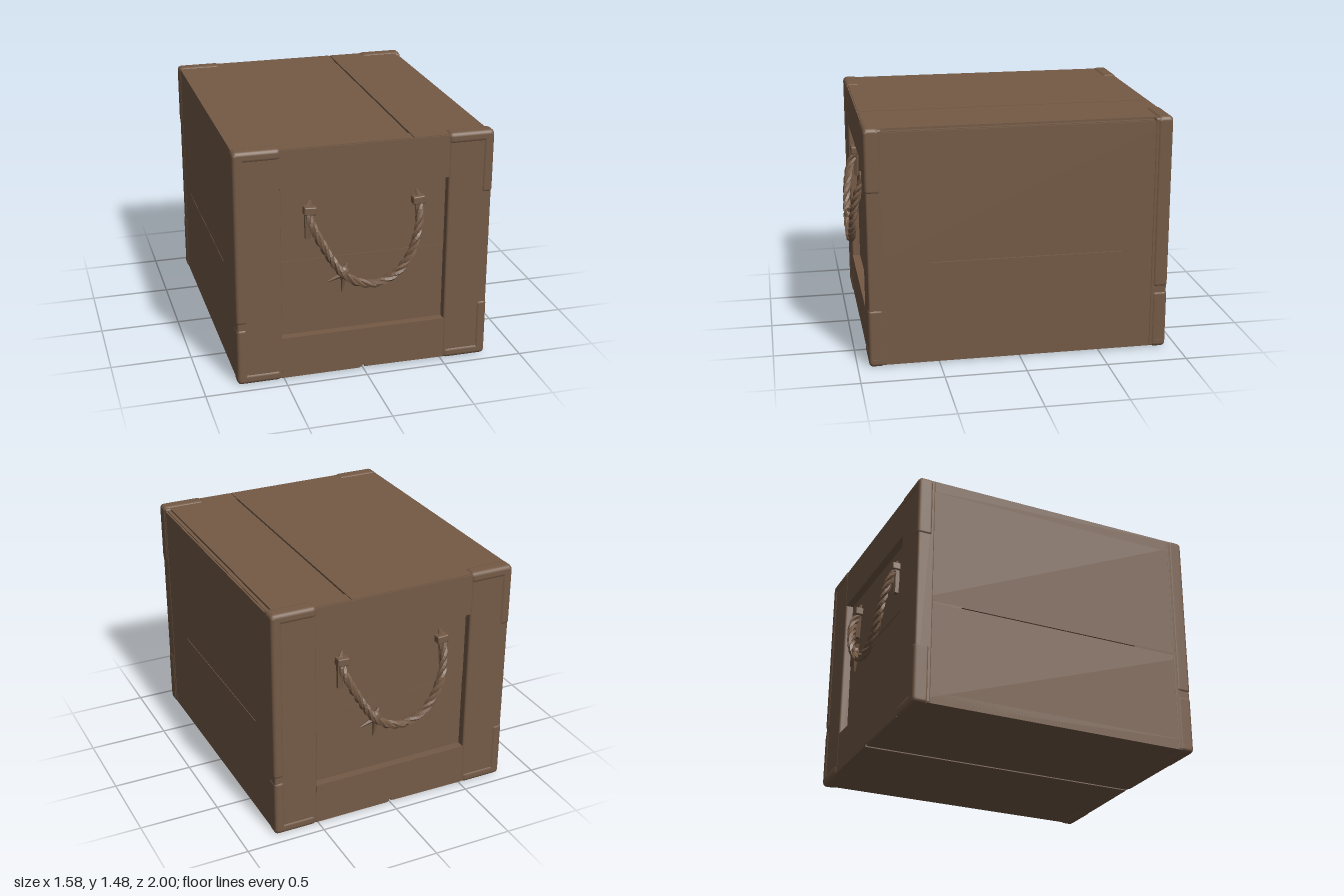
import * as THREE from 'three';
import { RoundedBoxGeometry } from 'three/addons/geometries/RoundedBoxGeometry.js';

const wood = new THREE.MeshStandardMaterial({ color: 0x745a46 });
wood.name = 'brown wood';

function add(parent, name, geometry) {
  const mesh = new THREE.Mesh(geometry, wood);
  mesh.name = name;
  parent.add(mesh);
  return mesh;
}

// Box given by its extents on each axis, with optional edge rounding
function block(parent, name, [x0, x1], [y0, y1], [z0, z1], radius = 0) {
  const size = [x1 - x0, y1 - y0, z1 - z0];
  const geometry = radius
    ? new RoundedBoxGeometry(...size, 2, radius)
    : new THREE.BoxGeometry(...size);
  const mesh = add(parent, name, geometry);
  mesh.position.set((x0 + x1) / 2, (y0 + y1) / 2, (z0 + z1) / 2);
  return mesh;
}

// Flat-faceted geometry: every triangle gets its own normal
function faceted(geometry) {
  const flat = geometry.index ? geometry.toNonIndexed() : geometry;
  flat.computeVertexNormals();
  return flat;
}

// Three strands wound around a path
function rope(parent, name, path, turns, spread, radius) {
  const steps = 72;
  const frames = path.computeFrenetFrames(steps, false);
  for (let s = 0; s < 3; s++) {
    const points = [];
    for (let i = 0; i <= steps; i++) {
      const a = (i / steps) * turns * Math.PI * 2 + (s * Math.PI * 2) / 3;
      points.push(path.getPointAt(i / steps)
        .addScaledVector(frames.normals[i], Math.cos(a) * spread)
        .addScaledVector(frames.binormals[i], Math.sin(a) * spread));
    }
    const curve = new THREE.CatmullRomCurve3(points);
    add(parent, name, faceted(new THREE.TubeGeometry(curve, steps, radius, 5)));
  }
}

// Small tapered tuft between two points
function tuft(parent, from, to, r0, r1) {
  const a = new THREE.Vector3(...from), b = new THREE.Vector3(...to);
  const dir = b.clone().sub(a);
  const mesh = add(parent, 'ropeEnd', faceted(new THREE.CylinderGeometry(r1, r0, dir.length(), 5)));
  mesh.position.copy(a).add(b).multiplyScalar(0.5);
  mesh.quaternion.setFromUnitVectors(new THREE.Vector3(0, 1, 0), dir.normalize());
}

function makeHandle() {
  const handle = new THREE.Group();
  handle.name = 'ropeHandle';
  const path = new THREE.CatmullRomCurve3([
    [-0.34, 1.07, 0.89], [-0.325, 0.99, 0.93], [-0.24, 0.82, 0.965], [-0.155, 0.69, 0.972],
    [-0.05, 0.615, 0.972], [0.05, 0.6, 0.972], [0.15, 0.63, 0.972], [0.245, 0.72, 0.97],
    [0.305, 0.86, 0.96], [0.335, 0.99, 0.93], [0.34, 1.07, 0.89],
  ].map((p) => new THREE.Vector3(...p)));
  rope(handle, 'ropeStrand', path, 7, 0.013, 0.015);

  // Knot with frayed ends
  const knot = add(handle, 'knot', faceted(new THREE.IcosahedronGeometry(0.036, 1)));
  knot.position.set(-0.145, 0.69, 0.968);
  knot.scale.set(1, 1.2, 0.75);
  tuft(handle, [-0.15, 0.68, 0.965], [-0.24, 0.64, 0.96], 0.02, 0.005);
  tuft(handle, [-0.14, 0.67, 0.965], [-0.155, 0.56, 0.96], 0.022, 0.004);
  tuft(handle, [-0.14, 0.7, 0.965], [-0.12, 0.745, 0.96], 0.02, 0.01);

  // Rope loops tied through the panel
  for (const s of [-1, 1]) {
    const loop = block(handle, 'ropeLoop', [s * 0.333 - 0.038, s * 0.333 + 0.038],
      [1.055, 1.105], [0.87, 0.925], 0.008);
    loop.rotation.z = s * 0.06;
    tuft(handle, [s * 0.34, 1.07, 0.885], [s * 0.345, 0.9, 0.89], 0.026, 0.018);
    tuft(handle, [s * 0.335, 1.09, 0.885], [s * 0.325, 1.14, 0.88], 0.025, 0.006);
  }
  return handle;
}

function makeEnd() {
  const end = new THREE.Group();
  end.name = 'crateEnd';
  const zFrame = [0.82, 0.925];

  // Recessed panel boards
  block(end, 'panelBoard', [-0.53, 0.53], [0.26, 0.758], [0.8, 0.872]);
  block(end, 'panelBoard', [-0.53, 0.53], [0.762, 1.23], [0.8, 0.876]);

  // Upright frame boards
  for (const s of [-1, 1]) {
    const span = s > 0 ? [0.51, 0.785] : [-0.785, -0.51];
    block(end, 'uprightBoard', span, [0.008, 1.475], zFrame, 0.012);
  }
  // Top rail
  block(end, 'topRail', [-0.515, 0.515], [1.21, 1.47], [0.82, 0.923]);

  // Bottom rail with a small notch in the middle of its lower edge
  const rail = new THREE.Shape([
    [-0.515, 0.01], [-0.025, 0.01], [0, 0.035], [0.025, 0.015], [0.515, 0.01],
    [0.515, 0.277], [-0.515, 0.277],
  ].map((p) => new THREE.Vector2(...p)));
  add(end, 'bottomRail', new THREE.ExtrudeGeometry(rail, { depth: 0.103, bevelEnabled: false }))
    .position.z = 0.82;

  // Worn, slightly proud corner pieces
  const zCap = [0.835, 0.93];
  for (const s of [-1, 1]) {
    const spanX = (a, b) => (s > 0 ? [a, b] : [-b, -a]);
    block(end, 'topCorner', spanX(0.505, 0.79), [1.412, 1.483], zCap, 0.025);
    block(end, 'bottomCorner', spanX(0.515, 0.79), [0, 0.07], zCap, 0.025);
    block(end, 'cornerStrip', spanX(0.722, 0.79), s > 0 ? [1.09, 1.475] : [0.4, 1.475], zCap, 0.02);
    block(end, 'cornerStrip', spanX(0.722, 0.789), [0.01, 0.37], zCap, 0.02);
  }
  end.add(makeHandle());
  return end;
}

export function createModel() {
  const crate = new THREE.Group();
  crate.name = 'crate';

  // Inner body that closes the gaps between boards
  block(crate, 'innerBody', [-0.77, 0.77], [0.022, 1.462], [-0.85, 0.85]);

  // Lid boards
  const zBoard = [-0.915, 0.915];
  block(crate, 'lidBoard', [-0.782, 0.282], [1.4, 1.475], zBoard);
  block(crate, 'lidBoard', [0.294, 0.748], [1.4, 1.475], zBoard);

  // Side boards, split by a short open seam
  for (const s of [-1, 1]) {
    const x = s > 0 ? [0.7, 0.782] : [-0.782, -0.7];
    block(crate, 'upperSideBoard', x, [0.653, 1.457], zBoard);
    block(crate, 'lowerSideBoard', x, [0.015, 0.647], zBoard);
    block(crate, 'seamFill', x, [0.64, 0.66], [0.54, 0.915]);
    block(crate, 'seamFill', x, [0.64, 0.66], [-0.915, -0.64]);
  }

  // Floor boards
  block(crate, 'floorBoard', [-0.782, -0.008], [0.01, 0.08], zBoard);
  block(crate, 'floorBoard', [0.008, 0.782], [0.01, 0.08], zBoard);

  // Both ends are alike, turned half way round
  const front = makeEnd();
  const back = makeEnd();
  back.rotation.y = Math.PI;
  crate.add(front, back);
  return crate;
}
